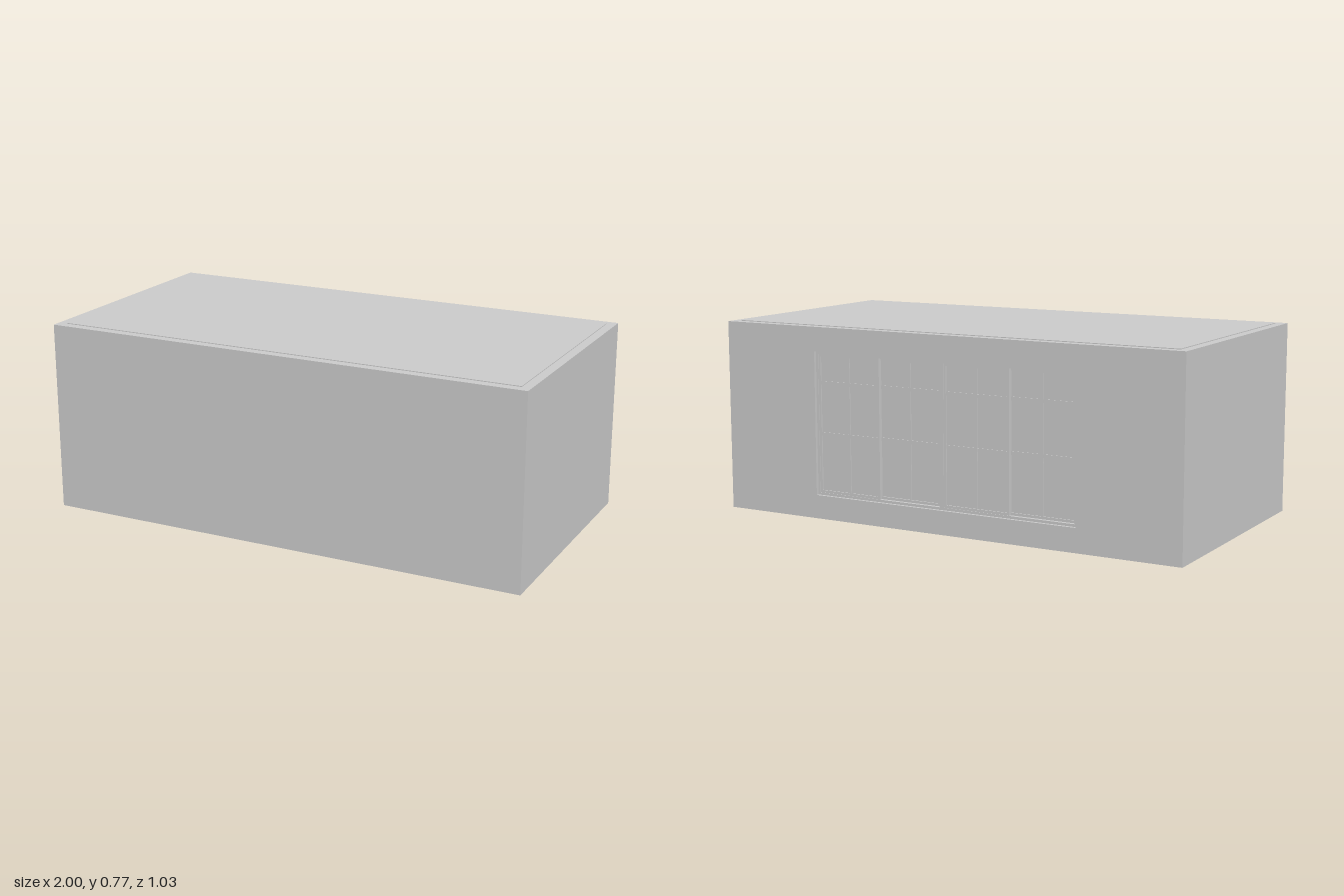
import * as THREE from 'three';

const W = 2, D = 1.034, T = 0.037;        // room width, depth and wall thickness
const Y0 = 0.003, Y1 = 0.772, TOP = 0.775; // wall base, wall top, overall height
const BACK = -D / 2;                       // outer plane of the window wall
const WIN = { x: 0.577, y0: 0.098, y1: 0.674 };

const material = new THREE.MeshStandardMaterial({ color: 0xcccccc });

function box(parent, name, x0, x1, y0, y1, z0, z1) {
  const mesh = new THREE.Mesh(new THREE.BoxGeometry(x1 - x0, y1 - y0, z1 - z0), material);
  mesh.position.set((x0 + x1) / 2, (y0 + y1) / 2, (z0 + z1) / 2);
  mesh.name = name;
  parent.add(mesh);
  return mesh;
}

function rectangle(path, x0, x1, y0, y1) {
  path.moveTo(x0, y0);
  path.lineTo(x1, y0);
  path.lineTo(x1, y1);
  path.lineTo(x0, y1);
  path.closePath();
  return path;
}

// Rectangular plate with one rectangular opening, from z0 to z1
function pierced(parent, name, outer, inner, z0, z1) {
  const shape = rectangle(new THREE.Shape(), ...outer);
  shape.holes.push(rectangle(new THREE.Path(), ...inner));
  const geometry = new THREE.ExtrudeGeometry(shape, { depth: z1 - z0, bevelEnabled: false });
  const mesh = new THREE.Mesh(geometry, material);
  mesh.position.z = z0;
  mesh.name = name;
  parent.add(mesh);
  return mesh;
}

// One sash: border, glass, a middle glazing bar and two cross bars
function sash(x0, x1, z) {
  const group = new THREE.Group();
  group.name = 'sash';
  const y0 = WIN.y0 + 0.01, y1 = WIN.y1 - 0.01, b = 0.01, depth = 0.012;
  pierced(group, 'sashBorder', [x0, x1, y0, y1], [x0 + b, x1 - b, y0 + b, y1 - b], z, z + depth);
  box(group, 'glass', x0 + b, x1 - b, y0 + b, y1 - b, z + 0.005, z + 0.008);
  const mid = (x0 + x1) / 2;
  box(group, 'glazingBar', mid - 0.004, mid + 0.004, y0 + b, y1 - b, z + 0.001, z + 0.011);
  for (const y of [0.345, 0.55]) {
    box(group, 'crossBar', x0 + b, x1 - b, y - 0.007, y + 0.007, z + 0.002, z + 0.01);
  }
  return group;
}

export function createModel() {
  const model = new THREE.Group();
  model.name = 'room';

  // Floor and ceiling slabs sit inside the walls and stand slightly proud
  const sx = W / 2 - T, sz = D / 2 - T;
  box(model, 'floor', -sx, sx, 0, 0.02, -sz, sz);
  box(model, 'ceiling', -sx, sx, TOP - 0.02, TOP, -sz, sz);

  // Walls
  box(model, 'frontWall', -W / 2, W / 2, Y0, Y1, sz, D / 2);
  for (const s of [-1, 1]) {
    const x = s * (W / 2 - T / 2);
    box(model, 'sideWall', x - T / 2, x + T / 2, Y0, Y1, -sz, sz);
  }
  pierced(model, 'windowWall', [-W / 2, W / 2, Y0, Y1],
    [-WIN.x, WIN.x, WIN.y0, WIN.y1], BACK, BACK + T);

  // Window: outer frame, centre mullion and two pairs of sliding sashes
  const win = new THREE.Group();
  win.name = 'window';
  const f = 0.01, m = 0.009;
  pierced(win, 'windowFrame', [-WIN.x, WIN.x, WIN.y0, WIN.y1],
    [-WIN.x + f, WIN.x - f, WIN.y0 + f, WIN.y1 - f], BACK + 0.012, BACK + T);
  box(win, 'mullion', -m, m, WIN.y0 + f, WIN.y1 - f, BACK + 0.012, BACK + T);
  const outerZ = BACK + 0.014, innerZ = BACK + 0.026;
  for (const [a, b] of [[-WIN.x + f, -m], [m, WIN.x - f]]) {
    const mid = (a + b) / 2;
    win.add(sash(a, mid + 0.005, innerZ));
    win.add(sash(mid - 0.005, b, outerZ));
  }
  model.add(win);
  return model;
}
